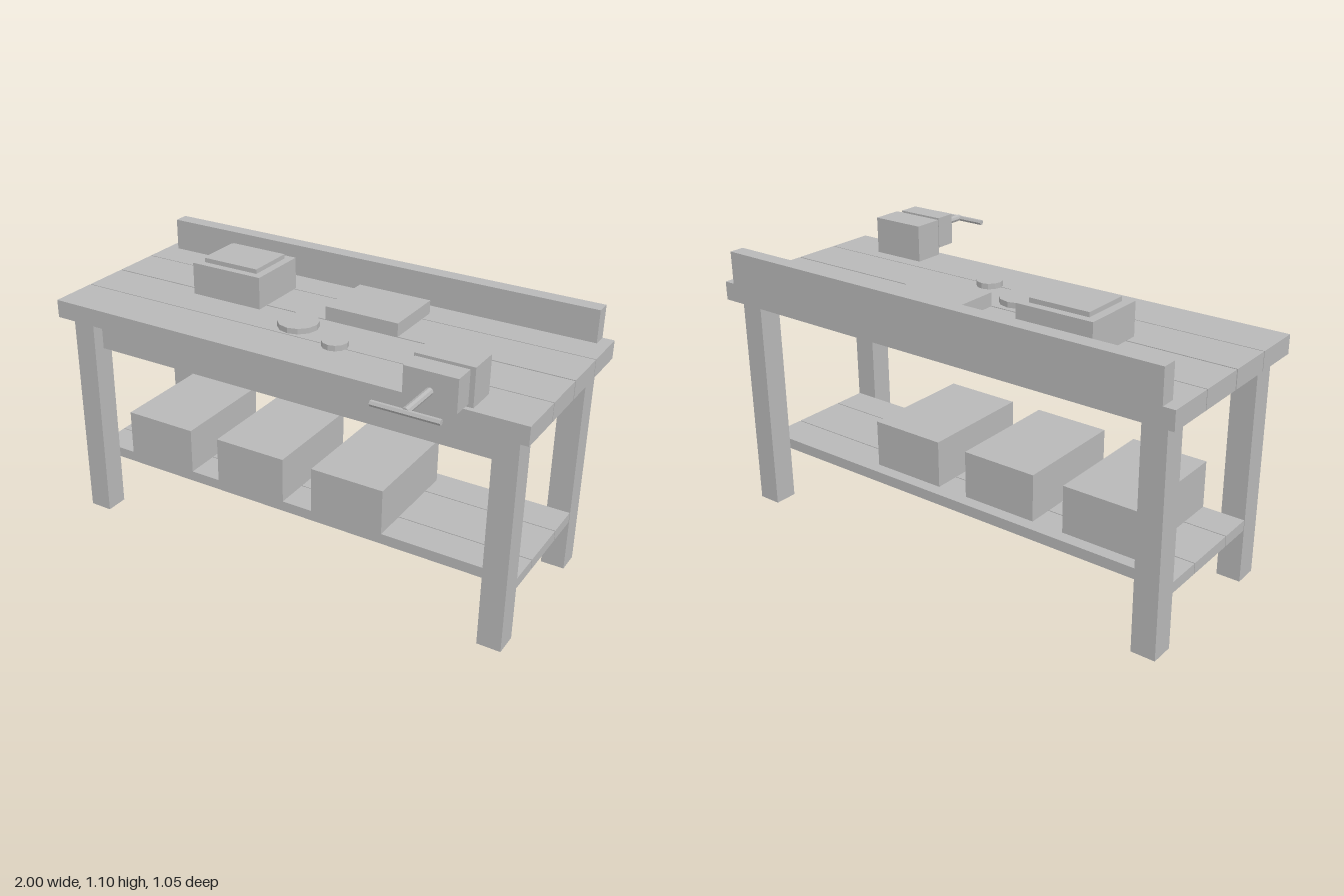
import * as THREE from 'three';

export function createModel() {
  const group = new THREE.Group();
  group.name = 'workbench';
  const grey = new THREE.MeshStandardMaterial({ color: 0xb8b8b8, flatShading: true });
  grey.name = 'plainGrey';

  const add = (name, geometry) => {
    const mesh = new THREE.Mesh(geometry, grey);
    mesh.name = name;
    group.add(mesh);
    return mesh;
  };
  // Box given by its limits on each axis
  const box = (name, x0, x1, y0, y1, z0, z1) =>
    add(name, new THREE.BoxGeometry(x1 - x0, y1 - y0, z1 - z0))
      .position.set((x0 + x1) / 2, (y0 + y1) / 2, (z0 + z1) / 2);
  const rod = (name, r, length, sides, x, y, z) => {
    const mesh = add(name, new THREE.CylinderGeometry(r, r, length, sides));
    mesh.position.set(x, y, z);
    return mesh;
  };

  // Table top planks with narrow gaps
  [[-0.525, -0.332], [-0.328, -0.133], [-0.127, 0.062], [0.066, 0.262]].forEach(([z0, z1], i) =>
    box('topPlank' + (i + 1), -1, 1, 0.877, 0.95, z0, z1));

  // Raised board along the back edge
  box('backBoard', -0.955, 0.953, 0.95, 1.08, -0.526, -0.465);

  // Legs
  for (const s of [-1, 1]) {
    const x0 = s < 0 ? -0.955 : 0.86;
    box('frontLeg', x0, x0 + 0.095, 0, 0.877, 0.126, 0.222);
    box('backLeg', x0, x0 + 0.095, 0, 0.877, -0.484, -0.39);
  }

  // Rail under the front of the top
  box('frontRail', -0.86, 0.86, 0.74, 0.877, 0.126, 0.172);

  // Lower shelf planks
  [[-0.39, -0.242], [-0.238, -0.017], [-0.013, 0.126]].forEach(([z0, z1], i) =>
    box('shelfPlank' + (i + 1), -0.953, 0.953, 0.217, 0.26, z0, z1));

  // Storage boxes on the shelf
  for (const x of [-0.785, -0.345, 0.095])
    box('storageBox', x, x + 0.31, 0.26, 0.448, -0.341, 0.126);

  // Items on the top
  box('toolBox', -0.58, -0.267, 0.95, 1.08, -0.341, -0.079);
  box('toolBoxLid', -0.545, -0.3, 1.08, 1.098, -0.31, -0.11);
  box('flatBox', 0, 0.31, 0.95, 1.004, -0.393, -0.131);
  rod('largeDisc', 0.081, 0.022, 12, -0.055, 0.961, -0.026);
  rod('smallDisc', 0.051, 0.022, 12, 0.153, 0.961, 0.056);

  // Vise: two jaws, screw and cross handle
  box('viseRearJaw', 0.565, 0.79, 0.95, 1.097, 0.119, 0.242);
  box('viseFrontJaw', 0.58, 0.78, 0.972, 1.097, 0.263, 0.347);
  rod('viseScrew', 0.014, 0.17, 8, 0.679, 1.028, 0.431).rotation.x = Math.PI / 2;
  rod('viseHandle', 0.011, 0.25, 6, 0.68, 1.026, 0.516).rotation.z = Math.PI / 2;

  return group;
}
